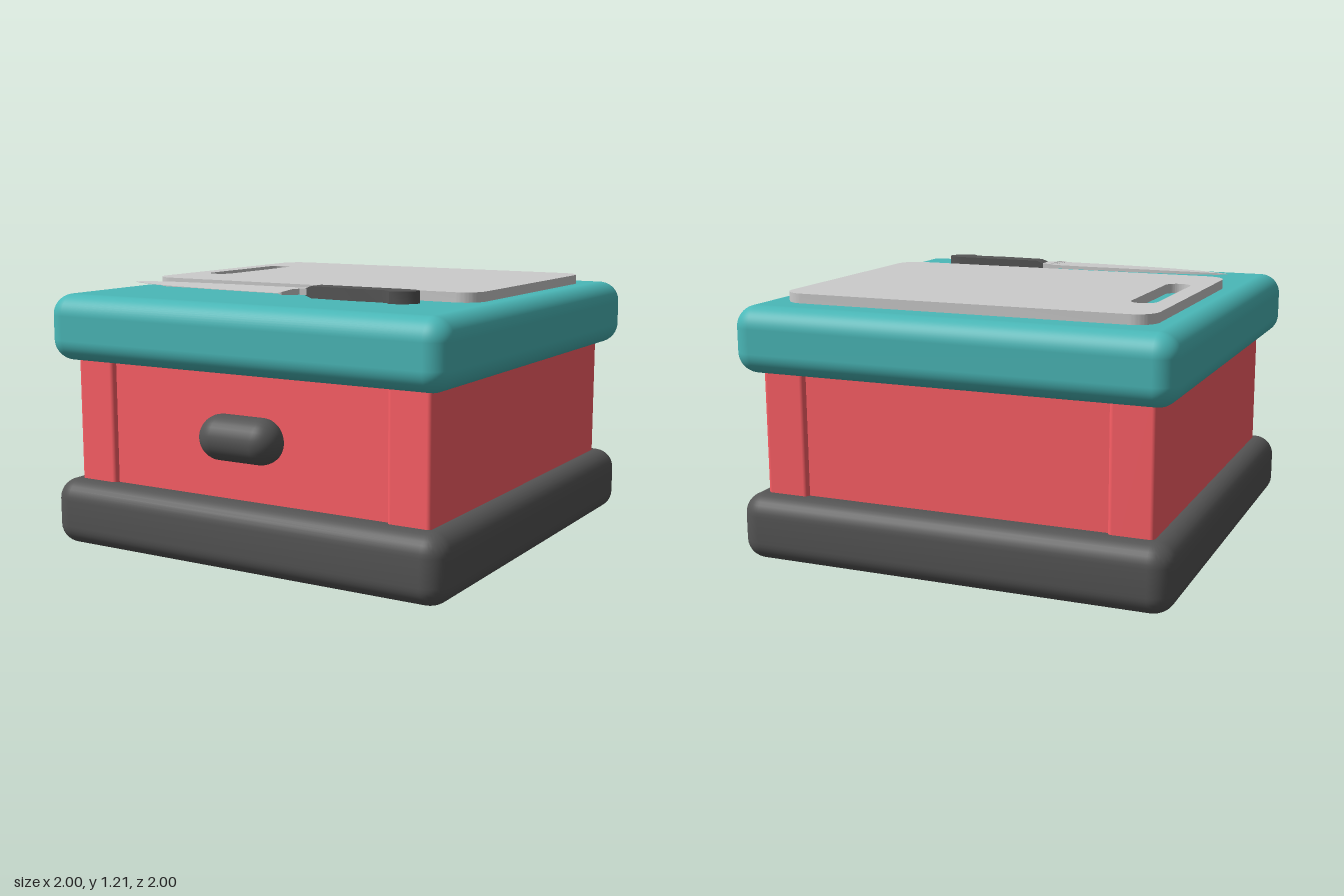
import * as THREE from 'three';
import { toCreasedNormals } from 'three/addons/utils/BufferGeometryUtils.js';
import { RoundedBoxGeometry } from 'three/addons/geometries/RoundedBoxGeometry.js';

const mat = (color) => new THREE.MeshStandardMaterial({ color });

// Rounded rectangle outline centred on (cx, cy)
function roundedRect(path, w, h, r, cx = 0, cy = 0) {
  const x = w / 2 - r, y = h / 2 - r;
  path.absarc(cx + x, cy + y, r, 0, Math.PI / 2);
  path.absarc(cx - x, cy + y, r, Math.PI / 2, Math.PI);
  path.absarc(cx - x, cy - y, r, Math.PI, Math.PI * 1.5);
  path.absarc(cx + x, cy - y, r, Math.PI * 1.5, Math.PI * 2);
  path.closePath();
  return path;
}

// Four-sided loft along x; section = [x, zSpine, zEdge, half height at spine, half height at edge]
function loft(sections) {
  const rings = sections.map(([x, a, b, ha, hb]) => [
    [x, ha, a], [x, hb, b], [x, -hb, b], [x, -ha, a],
  ]);
  const pos = [];
  const quad = (a, b, c, d) => pos.push(...a, ...b, ...c, ...a, ...c, ...d);
  for (let i = 0; i < rings.length - 1; i++) {
    for (let j = 0; j < 4; j++) {
      const k = (j + 1) % 4;
      quad(rings[i][j], rings[i][k], rings[i + 1][k], rings[i + 1][j]);
    }
  }
  const first = rings[0], last = rings[rings.length - 1];
  quad(first[3], first[2], first[1], first[0]);
  quad(last[0], last[1], last[2], last[3]);
  const geo = new THREE.BufferGeometry();
  geo.setAttribute('position', new THREE.Float32BufferAttribute(pos, 3));
  geo.computeVertexNormals();
  return toCreasedNormals(geo, 0.5);
}

export function createModel() {
  const model = new THREE.Group();
  const teal = mat(0x4ab8b8), red = mat(0xff6067), dark = mat(0x555555), grey = mat(0xcccccc);

  function add(name, geo, material, x = 0, y = 0, z = 0) {
    const mesh = new THREE.Mesh(geo, material);
    mesh.name = name;
    mesh.position.set(x, y, z);
    model.add(mesh);
    return mesh;
  }

  // Base: soft-edged square frame, open in the middle
  const ring = roundedRect(new THREE.Shape(), 2, 2, 0.1);
  const opening = new THREE.Path();
  opening.moveTo(-0.8, -0.8);
  opening.lineTo(-0.8, 0.8);
  opening.lineTo(0.8, 0.8);
  opening.lineTo(0.8, -0.8);
  opening.closePath();
  ring.holes.push(opening);
  const baseGeo = new THREE.ExtrudeGeometry(ring, {
    depth: 0.12, bevelThickness: 0.09, bevelSize: 0.09, bevelOffset: -0.09,
    bevelSegments: 8, curveSegments: 8,
  });
  baseGeo.rotateX(-Math.PI / 2);
  add('baseFrame', toCreasedNormals(baseGeo, 0.6), dark, 0, 0.09, 0);

  // Body: recessed centre block between two rounded side slabs
  add('bodyCentre', new THREE.BoxGeometry(1.44, 0.78, 1.75), red, 0, 0.51, 0);
  for (const side of [-1, 1]) {
    add(side > 0 ? 'leftSlab' : 'rightSlab',
      new RoundedBoxGeometry(0.2, 0.8, 1.8, 4, 0.02), red, side * 0.8, 0.5, 0);
  }

  // Worktop
  add('worktop', new RoundedBoxGeometry(2, 0.3, 2, 8, 0.095), teal, 0, 1, 0);

  // Front pull
  const pull = add('frontPull', new THREE.CapsuleGeometry(0.1, 0.2, 12, 32), dark, 0, 0.573, 0.9);
  pull.rotation.z = Math.PI / 2;

  // Cutting board with a grip slot
  const board = roundedRect(new THREE.Shape(), 1.7, 1.22, 0.1, 0, 0.2);
  board.holes.push(roundedRect(new THREE.Path(), 0.115, 0.625, 0.057, -0.708, 0.205));
  const boardGeo = new THREE.ExtrudeGeometry(board, { depth: 0.045, bevelEnabled: false, curveSegments: 12 });
  boardGeo.rotateX(-Math.PI / 2);
  add('cuttingBoard', toCreasedNormals(boardGeo, 0.6), grey, 0, 1.148, 0);

  // Knife: blade, bolster and handle lofted along x
  const knifeY = 1.184;
  add('knifeBlade', loft([
    [-0.81, 0.583, 0.587, 0.001, 0.001],
    [-0.76, 0.575, 0.617, 0.004, 0.001],
    [-0.65, 0.564, 0.66, 0.006, 0.001],
    [-0.5, 0.556, 0.696, 0.007, 0.001],
    [-0.3, 0.549, 0.722, 0.008, 0.001],
    [-0.1, 0.546, 0.738, 0.008, 0.001],
    [0.1, 0.548, 0.748, 0.009, 0.001],
  ]), grey, 0, knifeY, 0);
  add('knifeBolster', loft([
    [0.09, 0.548, 0.748, 0.009, 0.002],
    [0.105, 0.548, 0.746, 0.012, 0.006],
    [0.108, 0.548, 0.67, 0.012, 0.012],
    [0.125, 0.549, 0.637, 0.013, 0.013],
    [0.16, 0.55, 0.63, 0.014, 0.014],
  ]), grey, 0, knifeY, 0);
  add('knifeHandle', loft([
    [0.145, 0.549, 0.63, 0.013, 0.013],
    [0.18, 0.549, 0.631, 0.026, 0.026],
    [0.3, 0.549, 0.641, 0.026, 0.026],
    [0.4, 0.549, 0.647, 0.026, 0.026],
    [0.52, 0.549, 0.641, 0.026, 0.026],
    [0.555, 0.549, 0.647, 0.026, 0.026],
    [0.585, 0.549, 0.677, 0.026, 0.026],
    [0.62, 0.55, 0.671, 0.026, 0.026],
    [0.655, 0.56, 0.65, 0.026, 0.026],
    [0.675, 0.575, 0.63, 0.026, 0.026],
    [0.683, 0.592, 0.613, 0.026, 0.026],
  ]), dark, 0, knifeY, 0);

  return model;
}
